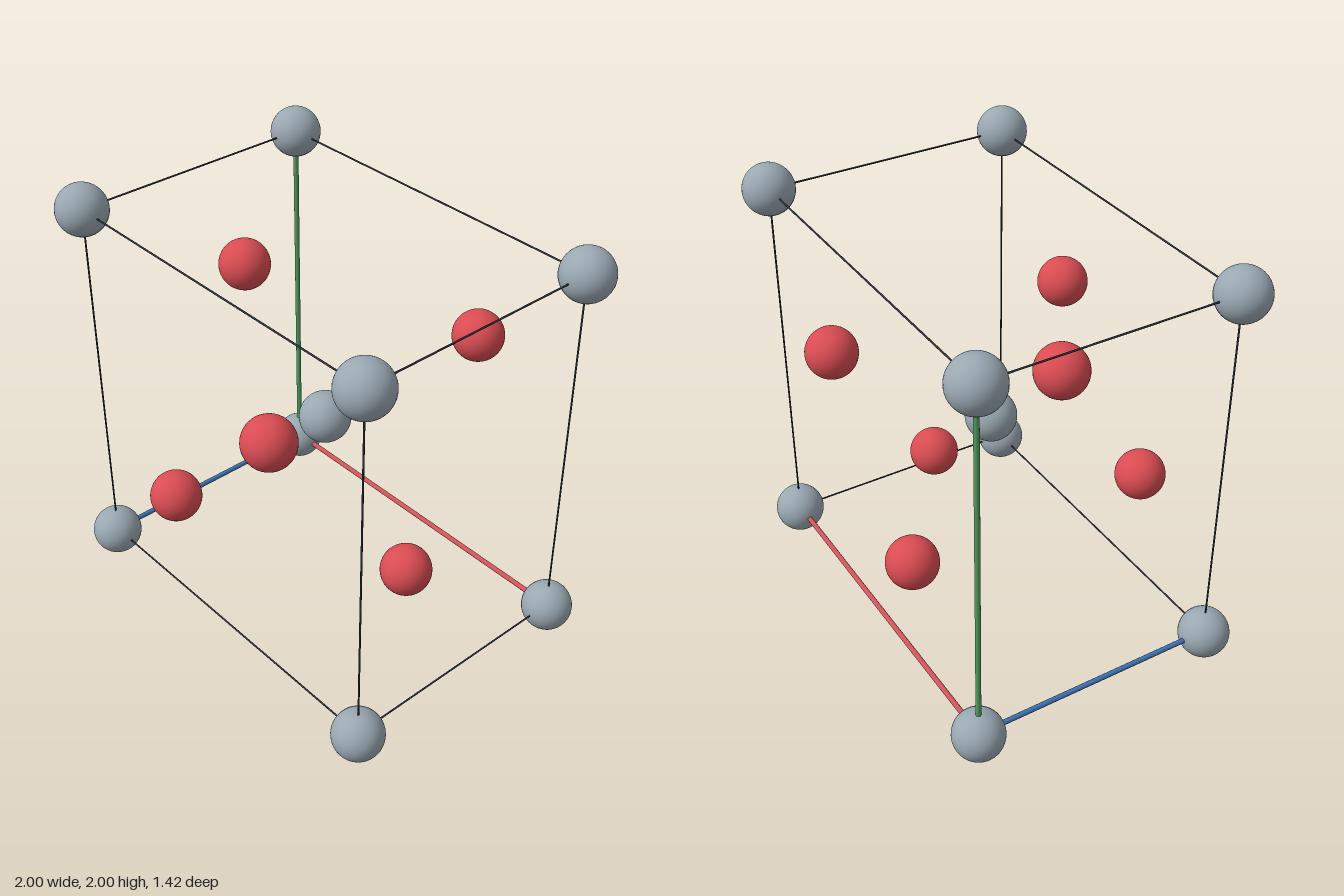
import * as THREE from 'three';

const X = 0.883, Z = 0.593, MID = 1, R = 0.117;

function mat(name, color) {
  const m = new THREE.MeshStandardMaterial({ color });
  m.name = name;
  return m;
}

export function createModel() {
  const model = new THREE.Group();
  model.name = 'crystalCell';
  const grey = mat('greyAtom', 0x9aa8b2);
  const red = mat('redAtom', 0xd94c52);
  const dark = mat('darkEdge', 0x2b3038);
  const axisRed = mat('redAxis', 0xd0545a);
  const axisGreen = mat('greenAxis', 0x55a062);
  const axisBlue = mat('blueAxis', 0x3f74b5);

  const ball = new THREE.SphereGeometry(R, 40, 28);
  const atom = (name, material, x, y, z) => {
    const m = new THREE.Mesh(ball, material);
    m.name = name;
    m.position.set(x, MID + y, z);
    model.add(m);
  };

  // Rod along one axis, centred at the given point
  const rod = (name, material, radius, axis, length, x, y, z) => {
    const g = new THREE.CylinderGeometry(radius, radius, length, 16);
    if (axis === 'x') g.rotateZ(Math.PI / 2);
    if (axis === 'z') g.rotateX(Math.PI / 2);
    const m = new THREE.Mesh(g, material);
    m.name = name;
    m.position.set(x, MID + y, z);
    model.add(m);
  };

  // Grey atoms at the corners and the centre
  for (const x of [-X, X])
    for (const y of [-X, X])
      for (const z of [-Z, Z]) atom('cornerAtom', grey, x, y, z);
  atom('centreAtom', grey, 0, 0, 0);

  // Red atoms: pairs on the front and back faces, and two in the middle plane
  for (const s of [-1, 1]) {
    for (const z of [-Z, Z]) atom('faceAtom', red, s * 0.34, s * 0.34, z);
    atom('innerAtom', red, s * 0.542, -s * 0.542, 0);
  }

  // Cell edges; the three meeting at the lower back right corner are thicker axes
  const edge = (name, material, axis, length, x, y, z, isAxis) =>
    rod(isAxis ? name : 'cellEdge', isAxis ? material : dark, isAxis ? 0.012 : 0.004, axis, length, x, y, z);
  for (const a of [-1, 1])
    for (const b of [-1, 1]) {
      const first = a < 0 && b < 0;
      edge('widthAxis', axisRed, 'x', 2 * X, 0, a * X, b * Z, first);
      edge('heightAxis', axisGreen, 'y', 2 * X, a * X, 0, b * Z, first);
      edge('depthAxis', axisBlue, 'z', 2 * Z, a * X, b * X, 0, first);
    }
  return model;
}
